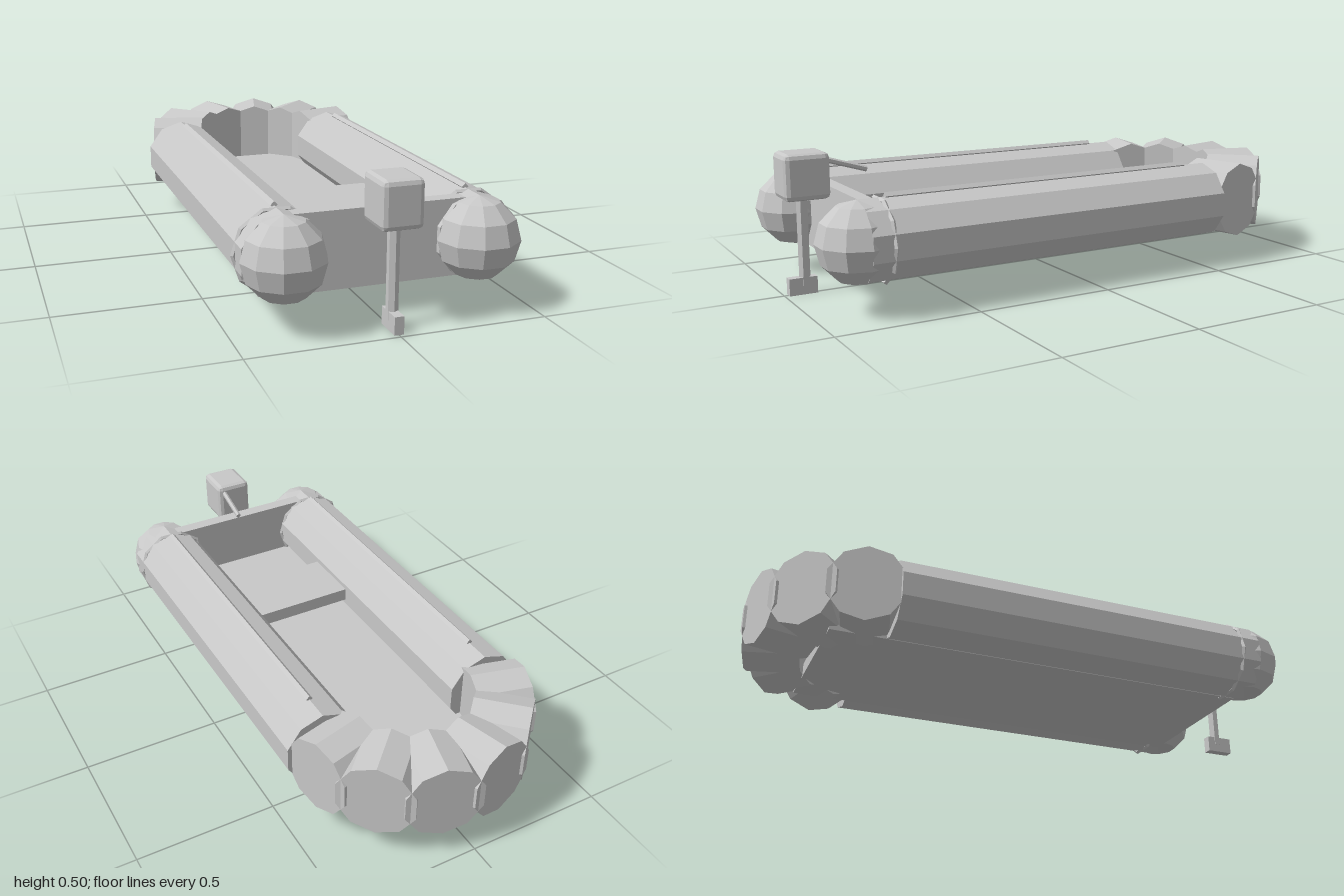
import * as THREE from 'three';
import { RoundedBoxGeometry } from 'three/addons/geometries/RoundedBoxGeometry.js';

export function createModel() {
  const boat = new THREE.Group();
  boat.name = 'inflatableBoat';
  const grey = new THREE.MeshStandardMaterial({ color: 0xc8c8c8, flatShading: true });
  grey.name = 'grey';

  const add = (name, geometry, x, y, z) => {
    const mesh = new THREE.Mesh(geometry, grey);
    mesh.name = name;
    mesh.position.set(x, y, z);
    boat.add(mesh);
    return mesh;
  };
  const box = (name, w, h, d, x, y, z) => add(name, new THREE.BoxGeometry(w, h, d), x, y, z);

  const R = 0.14, tubeX = 0.327, tubeY = 0.24, bowZ = -0.55, sternZ = 0.85;

  // Side tubes with rounded stern ends, straps and grab rails
  for (const [side, s] of [['left', 1], ['right', -1]]) {
    const x = s * tubeX;
    add(side + 'Tube', new THREE.CylinderGeometry(R, R, sternZ - bowZ, 10), x, tubeY, (sternZ + bowZ) / 2)
      .rotation.x = Math.PI / 2;
    add(side + 'TubeEnd', new THREE.SphereGeometry(R, 10, 6), x, tubeY, sternZ);
    add(side + 'Strap', new THREE.TorusGeometry(R, 0.008, 4, 10), x, tubeY, 0.775);
    add(side + 'Rail', new THREE.CylinderGeometry(0.012, 0.012, 1.21, 4), x, 0.382, 0.15)
      .rotation.x = Math.PI / 2;
  }

  // Bow made of six short drums fanned around a half circle
  for (let i = 0; i < 6; i++) {
    const a = (i + 0.5) * Math.PI / 6;
    const geometry = new THREE.CylinderGeometry(R, R, 0.2, 10);
    geometry.rotateX(Math.PI / 2);
    geometry.rotateY(a + Math.PI / 2);
    add('bowSegment' + (i + 1), geometry, Math.cos(a) * 0.33, tubeY, bowZ - Math.sin(a) * 0.33);
  }

  // Floor, seat and transom
  box('floor', 0.58, 0.05, 1.58, 0, 0.135, 0.04);
  box('seat', 0.4, 0.05, 0.24, 0, 0.24, 0.33);
  box('transom', 0.58, 0.21, 0.05, 0, 0.265, 0.805);

  // Outboard motor
  add('motorHead', new RoundedBoxGeometry(0.14, 0.16, 0.16, 1, 0.018), 0, 0.416, 0.92);
  add('motorLeg', new THREE.CylinderGeometry(0.02, 0.02, 0.32, 6), 0, 0.19, 0.925);
  box('motorFoot', 0.032, 0.06, 0.1, 0, 0.03, 0.935);

  // Tiller handle sloping forward from the motor
  const from = new THREE.Vector3(0.045, 0.475, 0.87), to = new THREE.Vector3(0.045, 0.425, 0.705);
  const dir = to.clone().sub(from), mid = from.clone().add(to).multiplyScalar(0.5);
  add('tiller', new THREE.CylinderGeometry(0.01, 0.01, dir.length(), 6), mid.x, mid.y, mid.z)
    .quaternion.setFromUnitVectors(new THREE.Vector3(0, 1, 0), dir.normalize());

  return boat;
}
